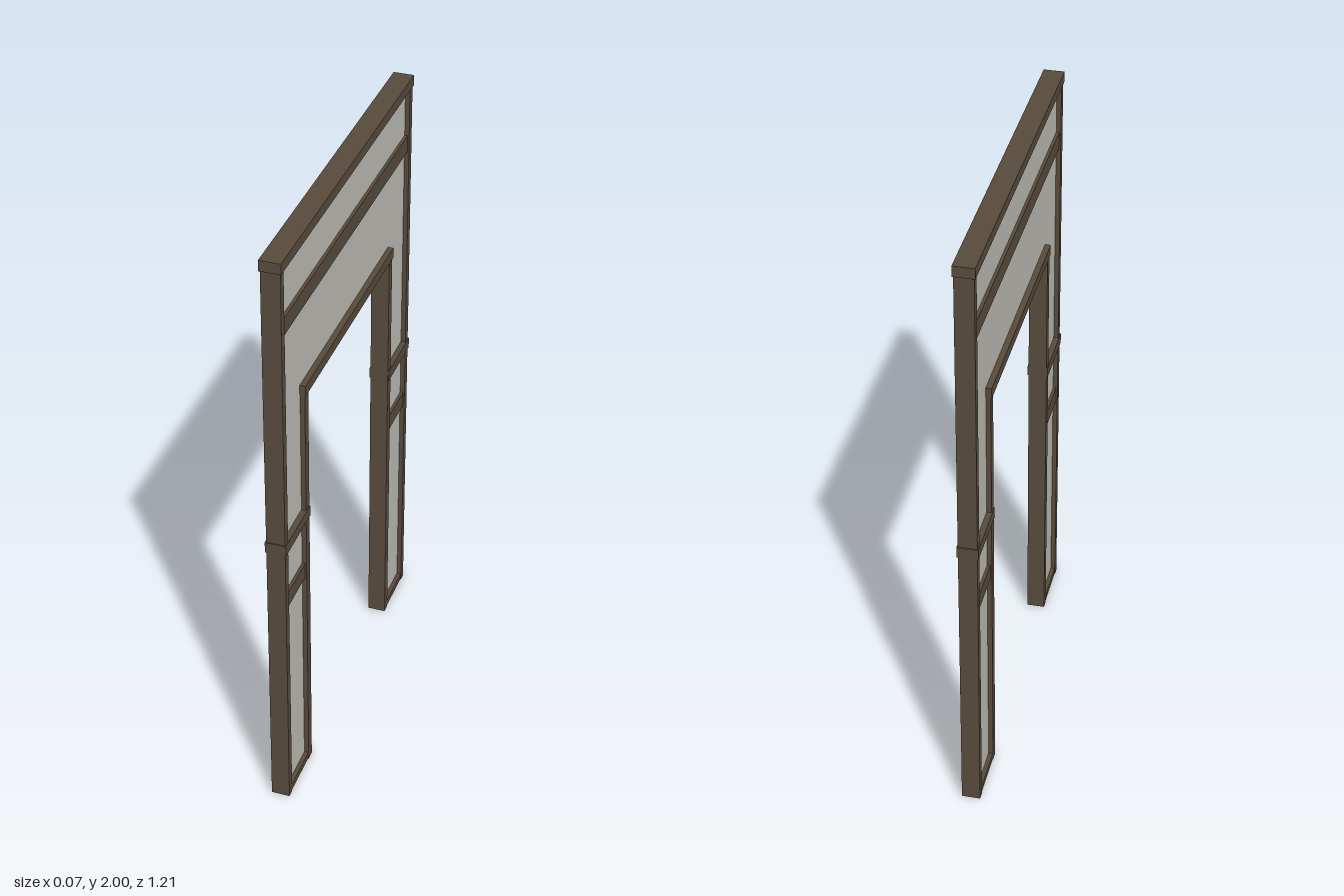
import * as THREE from 'three';

export function createModel() {
  const group = new THREE.Group();
  group.name = 'timberArch';

  const wood = new THREE.MeshStandardMaterial({ color: 0x574a3c });
  wood.name = 'dark timber';
  const plaster = new THREE.MeshStandardMaterial({ color: 0xbab9b1 });
  plaster.name = 'grey plaster';

  // Timber spanning z0..z1 and y0..y1, with the given thickness in x
  function timber(name, z0, z1, y0, y1, thickness) {
    const mesh = new THREE.Mesh(new THREE.BoxGeometry(thickness, y1 - y0, z1 - z0), wood);
    mesh.position.set(0, (y0 + y1) / 2, (z0 + z1) / 2);
    mesh.name = name;
    group.add(mesh);
  }

  // Thin infill wall in the shape of the arch
  const outline = new THREE.Shape([
    [-0.59, 0.01], [-0.4, 0.01], [-0.4, 1.46], [0.4, 1.46],
    [0.4, 0.01], [0.59, 0.01], [0.59, 1.98], [-0.59, 1.98],
  ].map(([z, y]) => new THREE.Vector2(z, y)));
  const depth = 0.03;
  const wallGeometry = new THREE.ExtrudeGeometry(outline, { depth, bevelEnabled: false });
  wallGeometry.translate(0, 0, -depth / 2);
  wallGeometry.rotateY(Math.PI / 2);
  const wall = new THREE.Mesh(wallGeometry, plaster);
  wall.name = 'plasterWall';
  group.add(wall);

  // Beams across the full width
  timber('topRail', -0.605, 0.605, 1.965, 2, 0.067);
  timber('upperBeam', -0.576, 0.576, 1.743, 1.8, 0.05);
  timber('lintel', -0.418, 0.418, 1.443, 1.478, 0.067);

  // Posts and short rails of each leg, mirrored front to back
  for (const side of [1, -1]) {
    const place = (name, a, b, y0, y1, thickness) =>
      timber(name, Math.min(a * side, b * side), Math.max(a * side, b * side), y0, y1, thickness);
    place('outerPost', 0.576, 0.602, 0, 1.966, 0.06);
    place('innerPost', 0.386, 0.416, 0, 1.444, 0.06);
    place('middleRail', 0.388, 0.605, 0.985, 1.022, 0.067);
    place('lowerRail', 0.415, 0.577, 0.762, 0.816, 0.05);
    place('bottomRail', 0.415, 0.577, 0.003, 0.026, 0.058);
  }

  return group;
}
